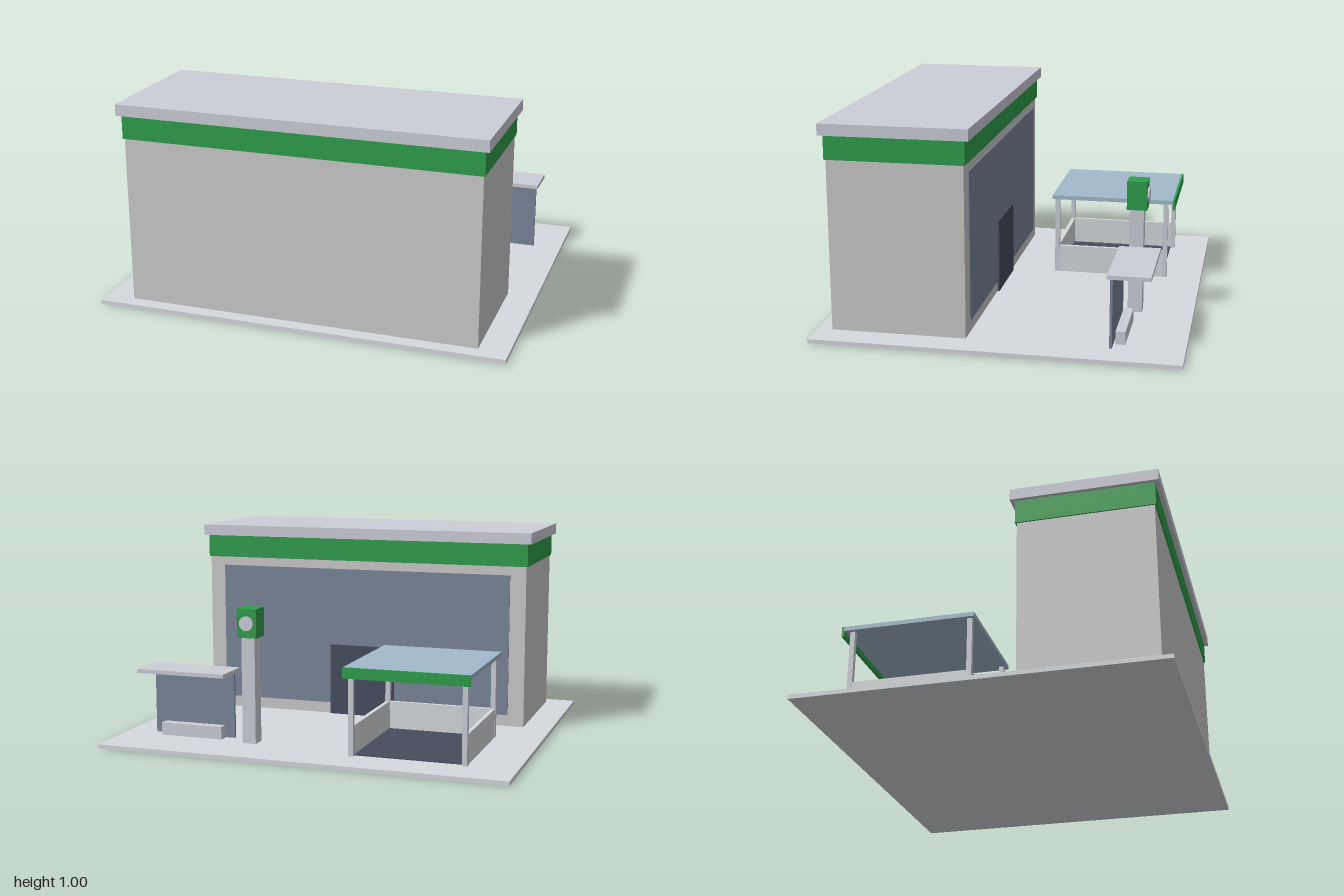
import * as THREE from 'three';

const mat = (color) => new THREE.MeshStandardMaterial({ color });

export function createModel() {
  const root = new THREE.Group();
  const wall = mat(0xcccccc), slab = mat(0xd6dade), trim = mat(0xcdcfd8), green = mat(0x2f9e4c);
  const glass = mat(0x7a8699), dark = mat(0x454c5c), blue = mat(0xa3bacd);

  // Box given by its min and max along each axis
  function box(parent, name, [x0, x1], [y0, y1], [z0, z1], material) {
    const m = new THREE.Mesh(new THREE.BoxGeometry(x1 - x0, y1 - y0, z1 - z0), material);
    m.position.set((x0 + x1) / 2, (y0 + y1) / 2, (z0 + z1) / 2);
    m.name = name;
    parent.add(m);
    return m;
  }
  function part(name) {
    const g = new THREE.Group();
    g.name = name;
    root.add(g);
    return g;
  }

  box(root, 'groundSlab', [-1, 1], [0, 0.02], [-0.857, 0.857], slab);

  // Store building, shopfront towards -z
  const store = part('store');
  box(store, 'walls', [-0.858, 0.858], [0.02, 0.95], [0.146, 0.787], wall);
  box(store, 'fasciaBand', [-0.865, 0.865], [0.835, 0.95], [0.138, 0.794], green);
  box(store, 'roof', [-0.885, 0.885], [0.95, 1.005], [0.117, 0.814], trim);
  box(store, 'shopWindow', [-0.777, 0.777], [0.077, 0.79], [0.141, 0.15], glass);
  box(store, 'entranceDoor', [-0.175, 0.175], [0.02, 0.39], [0.135, 0.15], dark);

  // Cart shelter: canopy on four posts around a three-sided bay
  const cart = part('cartShelter');
  box(cart, 'canopy', [-0.787, -0.188], [0.42, 0.441], [-0.706, -0.073], blue);
  box(cart, 'canopyFascia', [-0.787, -0.188], [0.391, 0.442], [-0.715, -0.704], green);
  for (const x of [-0.757, -0.218]) {
    for (const z of [-0.668, -0.098]) {
      box(cart, 'post', [x - 0.012, x + 0.012], [0.02, 0.42], [z - 0.012, z + 0.012], trim);
    }
    box(cart, 'sideRail', [x - 0.01, x + 0.01], [0.02, 0.162], [-0.656, -0.11], slab);
  }
  box(cart, 'rearRail', [-0.757, -0.218], [0.02, 0.162], [-0.108, -0.088], slab);
  box(cart, 'bayFloor', [-0.747, -0.228], [0.018, 0.025], [-0.656, -0.108], dark);

  // Sign pylon with a blank round disc
  const sign = part('signPylon');
  box(sign, 'pillar', [0.287, 0.355], [0.02, 0.535], [-0.609, -0.54], trim);
  box(sign, 'signBox', [0.272, 0.37], [0.535, 0.675], [-0.625, -0.528], green);
  const disc = new THREE.Mesh(new THREE.CylinderGeometry(0.035, 0.035, 0.012, 24), trim);
  disc.name = 'signDisc';
  disc.rotation.x = Math.PI / 2;
  disc.position.set(0.321, 0.605, -0.627);
  sign.add(disc);

  // Waiting shelter with glazed wall and bench
  const shelter = part('waitingShelter');
  box(shelter, 'shelterRoof', [0.412, 0.866], [0.348, 0.367], [-0.699, -0.5], trim);
  box(shelter, 'glassPanel', [0.432, 0.856], [0.02, 0.348], [-0.527, -0.515], glass);
  box(shelter, 'bench', [0.48, 0.8], [0.02, 0.082], [-0.582, -0.536], trim);

  return root;
}
